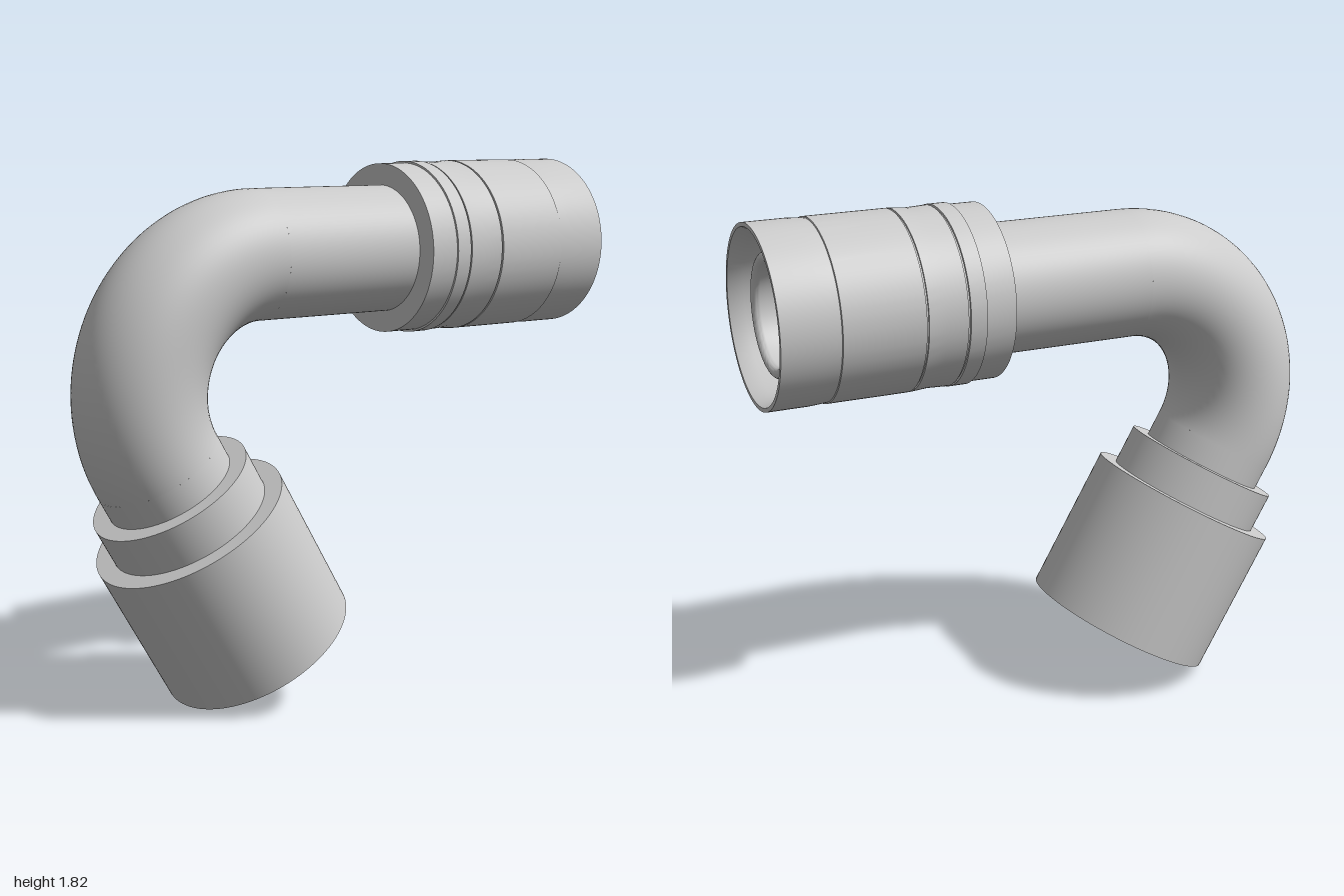
import * as THREE from 'three';
import { toCreasedNormals } from 'three/addons/utils/BufferGeometryUtils.js';

const SIDES = 96;
const PIPE_R = 0.222, BORE_R = 0.17, BEND_R = 0.45, BEND_ANGLE = Math.PI * 2 / 3;
const BEND_CENTRE = new THREE.Vector3(-0.328, 1.07, 0);

const material = new THREE.MeshStandardMaterial({ color: 0xcccccc, side: THREE.DoubleSide });

function addMesh(parent, name, geometry) {
  const mesh = new THREE.Mesh(geometry, material);
  mesh.name = name;
  parent.add(mesh);
}

// Turns a profile of [radius, distance along the axis] around local y
function addTurned(parent, name, profile) {
  const points = profile.map(([r, d]) => new THREE.Vector2(r, d));
  addMesh(parent, name, toCreasedNormals(new THREE.LatheGeometry(points, SIDES), 0.45));
}

function addPipe(parent, name, from, to) {
  addTurned(parent, name, [[PIPE_R, from], [PIPE_R, to]]);
  addTurned(parent, name + 'Bore', [[BORE_R, to], [BORE_R, from]]);
}

export function createModel() {
  const model = new THREE.Group();

  // Curved elbow, outside and bore
  const elbow = new THREE.Group();
  elbow.name = 'elbow';
  elbow.position.copy(BEND_CENTRE);
  elbow.rotation.z = Math.PI / 2;
  for (const [name, r] of [['elbowPipe', PIPE_R], ['elbowBore', BORE_R]]) {
    addMesh(elbow, name, new THREE.TorusGeometry(BEND_R, r, 64, 72, BEND_ANGLE));
  }
  model.add(elbow);

  // Horizontal arm: local y runs along +x, measured from the origin
  const arm = new THREE.Group();
  arm.name = 'horizontalArm';
  arm.position.y = BEND_CENTRE.y + BEND_R;
  arm.rotation.z = -Math.PI / 2;
  addPipe(arm, 'horizontalPipe', BEND_CENTRE.x, 0.21);

  // Sleeve with fine grooves, open mouth and a recessed nose ring
  const nose = [];
  for (let i = 0; i <= 12; i++) {
    const a = Math.PI * i / 12;
    nose.push([0.1875 + 0.0205 * Math.cos(a), 0.925 + 0.025 * Math.sin(a)]);
  }
  addTurned(arm, 'sleeveConnector', [
    [BORE_R, 0.21], [0.297, 0.21], [0.297, 0.315], [0.304, 0.315], [0.304, 0.372],
    [0.296, 0.372], [0.296, 0.379], [0.302, 0.379], [0.299, 0.45], [0.304, 0.515],
    [0.297, 0.515], [0.297, 0.522], [0.304, 0.522], [0.304, 0.8], [0.3, 0.802],
    [0.304, 0.86], [0.304, 1], [0.29, 1], [0.27, 0.95], [0.27, 0.75], [0.208, 0.75],
    ...nose, [BORE_R, 0.9], [BORE_R, 0.21],
  ]);
  model.add(arm);

  // Slanted arm: local y runs down and outward from the end of the elbow
  const end = Math.PI / 2 + BEND_ANGLE;
  const slanted = new THREE.Group();
  slanted.name = 'slantedArm';
  slanted.position.set(
    BEND_CENTRE.x + BEND_R * Math.cos(end), BEND_CENTRE.y + BEND_R * Math.sin(end), 0);
  slanted.rotation.z = -Math.PI / 2 - Math.PI / 3;
  addPipe(slanted, 'slantedPipe', 0, 0.092);

  // Stepped socket with a thin rim and an inner shoulder
  addTurned(slanted, 'socketConnector', [
    [BORE_R, 0.092], [0.282, 0.092], [0.282, 0.237], [0.345, 0.237], [0.345, 0.77],
    [0.331, 0.77], [0.331, 0.56], [0.2, 0.56], [0.2, 0.3], [BORE_R, 0.3], [BORE_R, 0.092],
  ]);
  model.add(slanted);

  return model;
}
